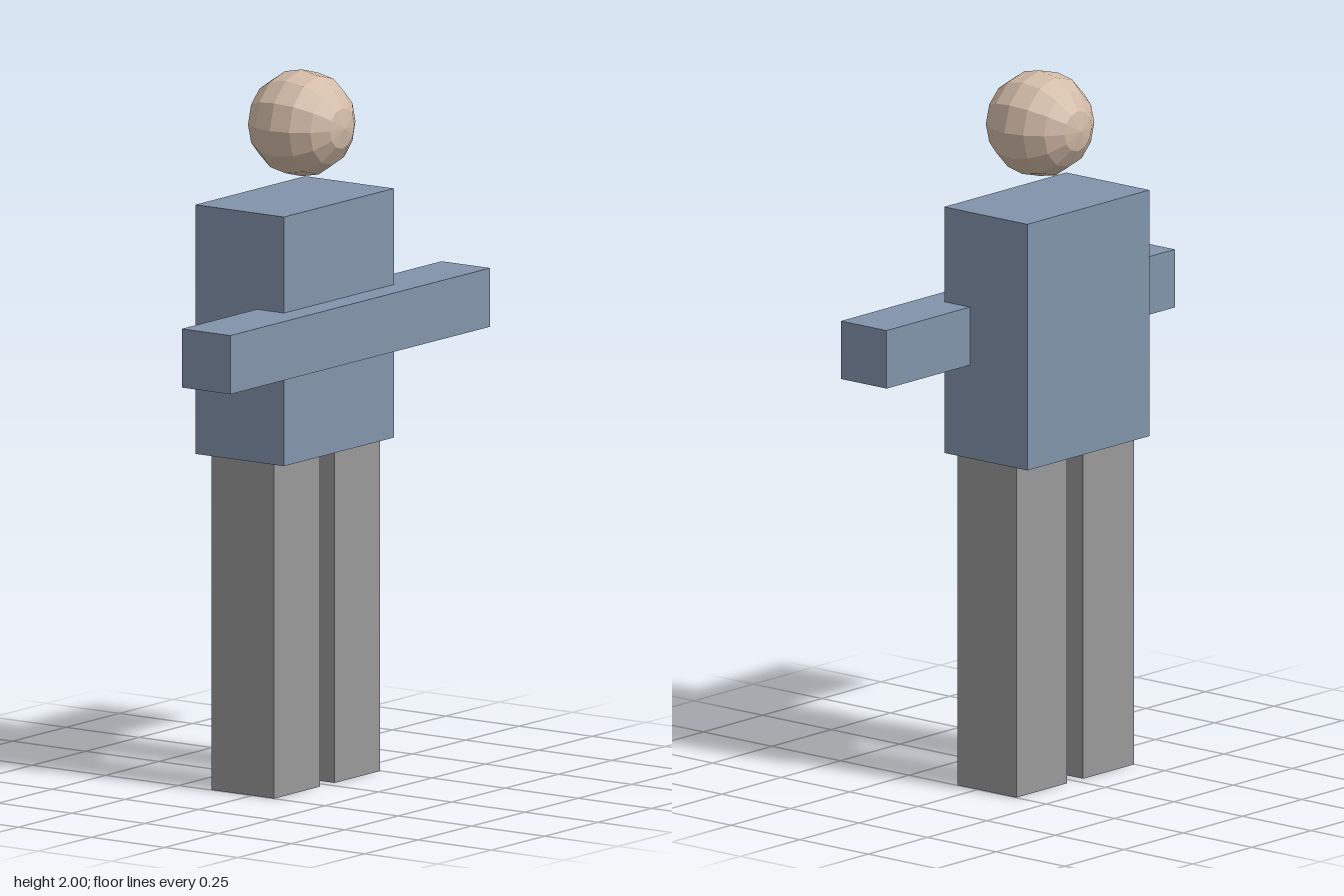
import * as THREE from 'three';

const skin = new THREE.MeshStandardMaterial({ color: 0xd2bba7, flatShading: true });
skin.name = 'skin';
const shirt = new THREE.MeshStandardMaterial({ color: 0x8294ab });
shirt.name = 'shirt blue';
const trousers = new THREE.MeshStandardMaterial({ color: 0x999999 });
trousers.name = 'trouser grey';

// Box given by its lower and upper corners
function box(name, material, min, max) {
  const size = max.map((v, i) => v - min[i]);
  const mesh = new THREE.Mesh(new THREE.BoxGeometry(...size), material);
  mesh.position.set(...max.map((v, i) => (v + min[i]) / 2));
  mesh.name = name;
  return mesh;
}

export function createModel() {
  const model = new THREE.Group();
  model.name = 'blockFigure';

  // Legs
  for (const [name, side] of [['leftLeg', 1], ['rightLeg', -1]]) {
    const leg = box(name, trousers, [-0.107, 0, -0.14], [0.107, 0.94, 0.075]);
    leg.position.x = side * 0.141;
    model.add(leg);
  }

  // Torso, and one bar for both arms set into its front
  model.add(box('torso', shirt, [-0.257, 0.94, -0.188], [0.257, 1.64, 0.115]));
  model.add(box('arms', shirt, [-0.608, 1.205, 0.022], [0.608, 1.37, 0.188]));

  // Faceted head floating above the torso, poles facing front and back
  const head = new THREE.Mesh(new THREE.SphereGeometry(0.15, 12, 8), skin);
  head.name = 'head';
  head.rotation.x = Math.PI / 2;
  head.position.set(0, 1.85, -0.012);
  model.add(head);

  return model;
}
